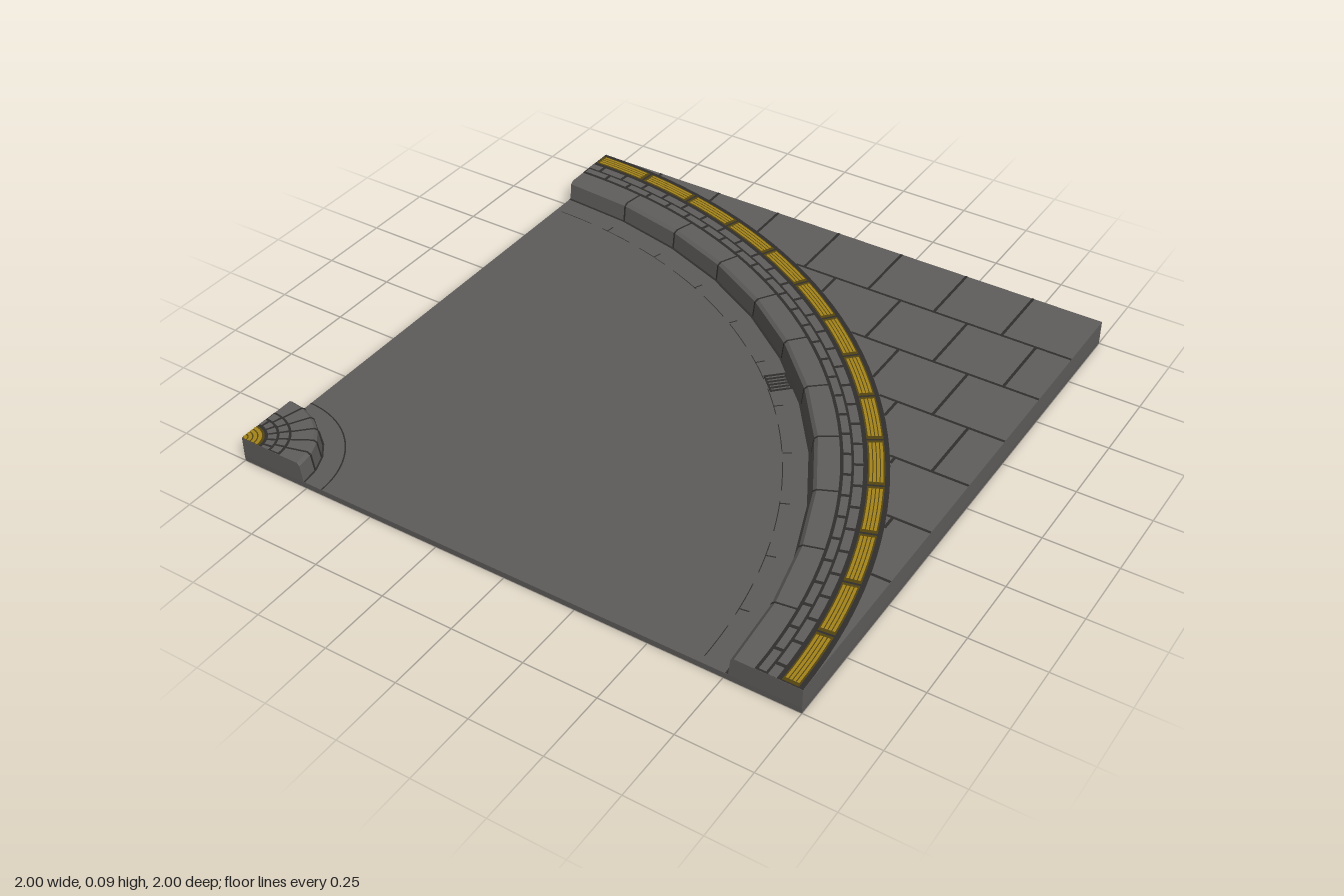
import * as THREE from 'three';
import { mergeGeometries } from 'three/addons/utils/BufferGeometryUtils.js';

const Q = Math.PI / 2;
const ROAD = 0.02, TOP = 0.088;      // road surface and pavement heights
const SEG = 11;                      // kerb stones round the outer bend

const mat = (name, color) => {
  const m = new THREE.MeshStandardMaterial({ color });
  m.name = name;
  return m;
};

// flat sector of a ring facing up
function arc(r0, r1, y, t0 = 0, t1 = Q, seg = 44) {
  return new THREE.RingGeometry(r0, r1, seg, 1, t0, t1 - t0).rotateX(-Q).translate(0, y, 0);
}

// a ring of evenly spaced blocks with a gap between them
function blocks(r0, r1, y, count, gap, shift = 0) {
  const out = [], step = Q / count, g = gap / (r0 + r1);
  for (let i = shift ? -1 : 0; i < count; i++) {
    const a = Math.max(0, (i + shift) * step + g);
    const b = Math.min(Q, (i + 1 + shift) * step - g);
    if (b > a) out.push(arc(r0, r1, y, a, b, 4));
  }
  return out;
}

// flat strip lying between two points (x, z)
function strip(x0, z0, x1, z1, w, y) {
  const len = Math.hypot(x1 - x0, z1 - z0);
  return new THREE.PlaneGeometry(len, w).rotateX(-Q)
    .rotateY(-Math.atan2(z1 - z0, x1 - x0))
    .translate((x0 + x1) / 2, y, (z0 + z1) / 2);
}

// kerb cross-section swept round the bend, faceted
function sweep(profile, seg) {
  const g = new THREE.LatheGeometry(profile.map(p => new THREE.Vector2(...p)), seg, Q, Q).toNonIndexed();
  g.computeVertexNormals();
  return g;
}

// thin slice of the kerb cross-section at angle t
function slice(profile, t, depth, z0) {
  const s = new THREE.Shape(profile.map(p => new THREE.Vector2(...p)));
  return new THREE.ExtrudeGeometry(s, { depth, bevelEnabled: false }).translate(0, 0, z0).rotateY(t);
}

export function createModel() {
  const model = new THREE.Group();
  const bend = new THREE.Group();     // everything centred on the inside corner
  bend.name = 'bend';
  bend.position.set(-1, 0, 1);
  model.add(bend);

  const asphalt = mat('asphalt', 0x5e5c5a);
  const stone = mat('paving stone', 0x605e5c);
  const joint = mat('dark joint', 0x302f2d);
  const yellow = mat('tactile yellow', 0xa6841a);
  const olive = mat('tactile groove', 0x54440f);

  const add = (parent, name, geos, material) => {
    const list = [].concat(geos).map(g => (g.index ? g.toNonIndexed() : g));
    const mesh = new THREE.Mesh(list.length > 1 ? mergeGeometries(list) : list[0], material);
    mesh.name = name;
    parent.add(mesh);
  };

  // road slab
  add(model, 'road', new THREE.BoxGeometry(2, ROAD, 2).translate(0, ROAD / 2, 0), asphalt);

  // raised pavement outside the bend
  const s = new THREE.Shape();
  s.moveTo(1.85, 0);
  s.lineTo(2, 0);
  s.lineTo(2, 2);
  s.lineTo(0, 2);
  for (let i = SEG; i > 0; i--) {
    const t = (i / SEG) * Q;
    s.lineTo(1.85 * Math.cos(t), 1.85 * Math.sin(t));
  }
  add(bend, 'pavement', new THREE.ExtrudeGeometry(s, { depth: TOP - ROAD, bevelEnabled: false })
    .rotateX(-Q).translate(0, ROAD, 0), stone);

  // kerbs: swept stones, end faces and dark joints
  const kerb = (name, profile, jointProfile, seg) => {
    add(bend, name, [sweep(profile.slice(0, -1), seg),
      slice(profile, 0, 0.004, -0.004), slice(profile, Q, 0.004, 0)], stone);
    const cuts = [];
    for (let i = 1; i < seg; i++) cuts.push(slice(jointProfile, (i / seg) * Q, 0.006, -0.003));
    add(bend, name + 'Joints', cuts, joint);
  };
  kerb('outerKerb',
    [[1.85, TOP], [1.783, TOP], [1.772, 0.079], [1.765, ROAD], [1.85, ROAD]],
    [[1.85, TOP + 0.001], [1.782, TOP + 0.001], [1.77, 0.08], [1.763, ROAD], [1.85, ROAD]], SEG);
  kerb('innerKerb',
    [[0.24, ROAD], [0.232, 0.079], [0.222, TOP], [0, TOP], [0, ROAD]],
    [[0.242, ROAD], [0.234, 0.08], [0.223, TOP + 0.001], [0.15, TOP + 0.001], [0.15, ROAD]], 6);

  // mortar beds, brick courses and tactile strips
  add(bend, 'mortarBeds', [arc(1.848, 2.0, TOP + 0.0012), arc(0.001, 0.152, TOP + 0.0012)], joint);
  add(bend, 'bricks', [
    ...blocks(1.858, 1.882, TOP + 0.0025, 30, 0.012),
    ...blocks(1.890, 1.918, TOP + 0.0025, 30, 0.012, 0.5),
    ...blocks(0.115, 0.144, TOP + 0.0025, 6, 0.008),
    ...blocks(0.080, 0.107, TOP + 0.0025, 5, 0.008, 0.5),
  ], stone);
  add(bend, 'tactileTiles', [
    ...blocks(1.932, 1.985, TOP + 0.0025, 14, 0.008),
    arc(0.001, 0.07, TOP + 0.0025),
  ], olive);
  const bars = [];
  for (let i = 0; i < 4; i++) {
    bars.push(...blocks(1.937 + i * 0.0115, 1.9455 + i * 0.0115, TOP + 0.004, 14, 0.03));
    bars.push(arc(0.006 + i * 0.015, 0.017 + i * 0.015, TOP + 0.004));
  }
  add(bend, 'tactileBars', bars, yellow);

  // staggered slab joints, stopped at the bend
  const lines = [], y = TOP + 0.0012;
  for (let row = 0; row < 8; row++) {
    const z0 = -1 + row * 0.25, z1 = z0 + 0.25;
    const edge = -1 + Math.sqrt(4 - (1 - z1) ** 2);
    if (edge < 0.98) lines.push(strip(edge, z1, 1, z1, 0.01, y));
    for (let x = row % 2 ? -0.875 : -0.75; x < 0.99; x += 0.25) {
      const end = Math.min(z1, 1 - Math.sqrt(4 - (x + 1) ** 2));
      if (end > z0) lines.push(strip(x, z0, x, end, 0.01, y));
    }
  }
  add(model, 'slabJoints', lines, joint);

  // gutter lines, small cracks and worn centre marks on the road
  const marks = [
    arc(1.756, 1.766, ROAD + 0.0012, 0, Q, SEG),
    arc(0.238, 0.246, ROAD + 0.0012, 0, Q, 6),
    arc(0.308, 0.313, ROAD + 0.0012),
    ...blocks(1.672, 1.675, ROAD + 0.0012, 14, 0.05),
  ];
  for (let i = 1; i < SEG; i++) {
    const t = (i / SEG) * Q, c = Math.cos(t), n = Math.sin(t);
    marks.push(strip(1.675 * c, -1.675 * n, 1.705 * c, -1.705 * n, 0.005, ROAD + 0.0012));
  }
  add(bend, 'roadMarks', marks, joint);

  // drain grate beside the kerb
  const grate = [];
  for (let i = 0; i < 6; i++) {
    grate.push(new THREE.BoxGeometry(0.07, 0.003, 0.007).translate(1.715, ROAD + 0.001, -0.04 + i * 0.016));
  }
  for (const r of [1.68, 1.75]) {
    grate.push(new THREE.BoxGeometry(0.006, 0.003, 0.088).translate(r, ROAD + 0.001, 0));
  }
  grate.forEach(g => g.rotateY(Q / 2));
  add(bend, 'drainGrate', grate, joint);

  return model;
}
